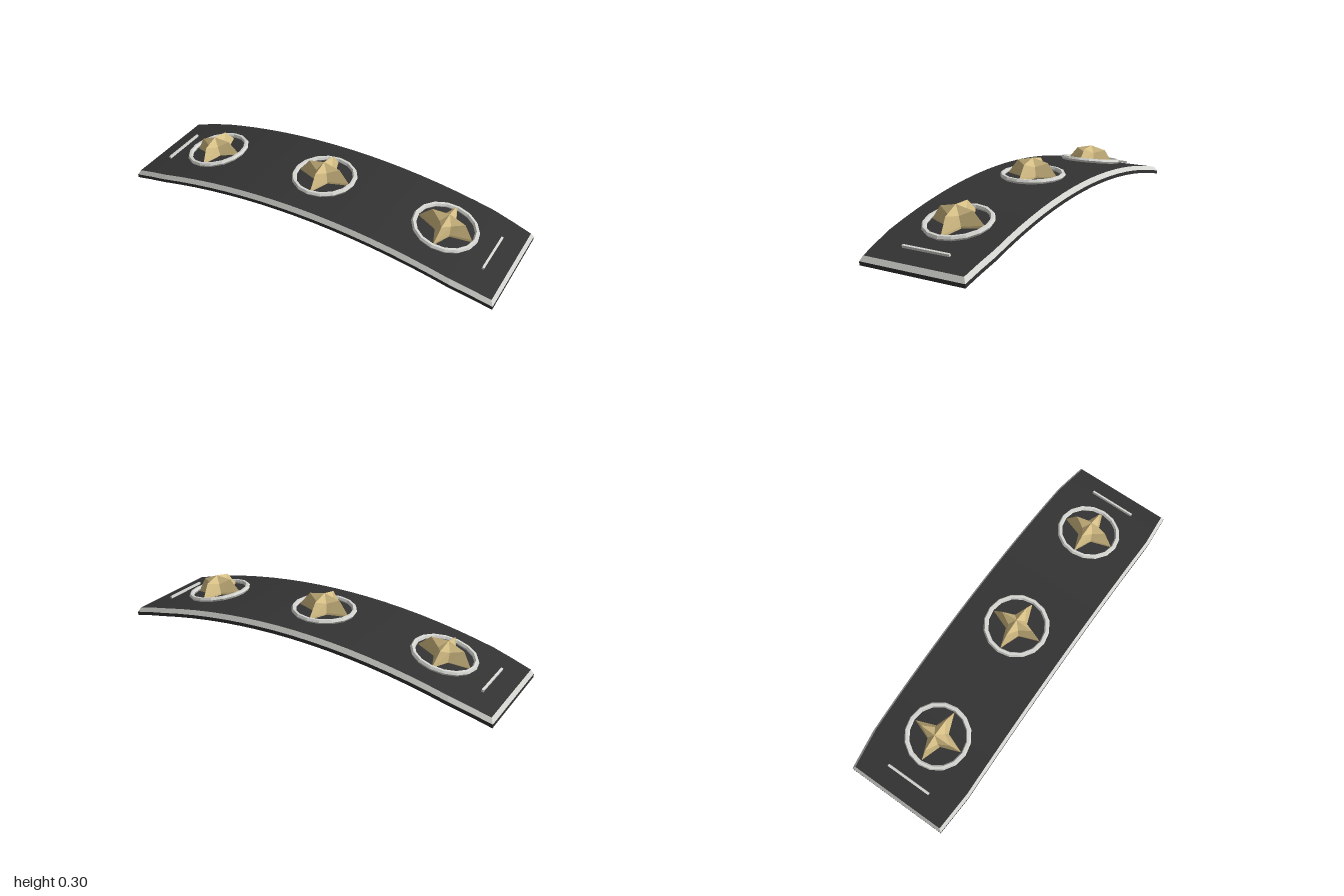
import * as THREE from 'three';

const mat = (name, color) => {
  const m = new THREE.MeshStandardMaterial({ color });
  m.name = name;
  return m;
};

// Arched top surface, its slope, and the half width of the strap
const topY = x => 0.208 + 0.016 * x - 0.145 * x * x;
const slope = x => Math.atan(0.016 - 0.29 * x);
const halfWidth = x => 0.283 - Math.max(0, Math.abs(x) - 0.8) * 0.09;

// Closed outline of the strap, inset from the edge and dropped below the top
const SEG = 20;
function outline(inset, drop) {
  const front = [], back = [];
  for (let i = 0; i <= SEG; i++) {
    const u = -1 + (2 * i) / SEG, x = u * (1 - inset);
    const y = topY(u) - drop, z = halfWidth(u) - inset;
    front.push([x, y, z]);
    back.unshift([x, y, -z]);
  }
  return [...front, ...back];
}

function facets(tris) {
  const g = new THREE.BufferGeometry();
  g.setAttribute('position', new THREE.Float32BufferAttribute(tris.flat(2), 3));
  g.computeVertexNormals();
  return g;
}

// Wall between two outlines, lower one first
function wall(lo, hi) {
  const t = [];
  lo.forEach((a, i) => {
    const j = (i + 1) % lo.length;
    t.push([a, lo[j], hi[j]], [a, hi[j], hi[i]]);
  });
  return t;
}

// Strip across an outline, facing up or down
function cap(loop, up) {
  const t = [], n = loop.length;
  for (let i = 0; i < SEG; i++) {
    const a = loop[i], b = loop[i + 1], c = loop[n - 2 - i], d = loop[n - 1 - i];
    t.push(...(up ? [[a, b, c], [a, c, d]] : [[a, c, b], [a, d, c]]));
  }
  return t;
}

// Four-pointed faceted star: base, shoulder and peak
function starGeometry() {
  const level = (tip, tipY, valley, valleyY) => Array.from({ length: 8 }, (_, i) => {
    const a = (i * Math.PI) / 4, r = i % 2 ? valley : tip;
    return [Math.cos(a) * r, i % 2 ? valleyY : tipY, -Math.sin(a) * r];
  });
  const base = level(0.137, -0.006, 0.053, -0.006);
  const foot = level(0.135, 0.008, 0.052, 0.008);
  const shoulder = level(0.085, 0.073, 0.041, 0.053);
  const peak = [0, 0.092, 0];
  const t = [...wall(base, foot), ...wall(foot, shoulder)];
  shoulder.forEach((p, i) => t.push([p, shoulder[(i + 1) % 8], peak]));
  return facets(t);
}

export function createModel() {
  const model = new THREE.Group();
  model.name = 'studdedStrap';
  const dark = mat('dark leather', 0x333333);
  const silver = mat('silver trim', 0xd6d6d2);
  silver.flatShading = true;
  const gold = mat('pale gold', 0xd6bf86);

  const body = new THREE.Group();
  body.rotation.x = 0.018;
  model.add(body);
  const add = (name, geometry, material, parent = body) => {
    const m = new THREE.Mesh(geometry, material);
    m.name = name;
    parent.add(m);
    return m;
  };

  // Strap with a bevelled silver rim
  const bottom = outline(0, 0.042), edge = outline(0, 0.024), top = outline(0.013, 0);
  add('strap', facets([...cap(bottom, false), ...wall(bottom, edge), ...cap(top, true)]), dark);
  add('rim', facets(wall(edge, top)), silver);

  // Ringed star studs
  const star = starGeometry();
  const ring = new THREE.TorusGeometry(0.151, 0.0125, 6, 16).rotateX(Math.PI / 2);
  for (const x of [-0.65, 0, 0.65]) {
    const stud = new THREE.Group();
    stud.name = 'stud';
    stud.position.set(x, topY(x), 0);
    stud.rotation.z = slope(x);
    body.add(stud);
    add('ring', ring, silver, stud).position.y = 0.008;
    add('star', star, gold, stud).position.y = x < 0 ? -0.008 : 0;
  }

  // Thin bars near the ends
  for (const x of [-0.89, 0.89]) {
    const bar = add('endBar', new THREE.BoxGeometry(0.011, 0.012, 0.24), silver);
    bar.position.set(x, topY(x) + 0.004, 0);
    bar.rotation.z = slope(x);
  }
  return model;
}
